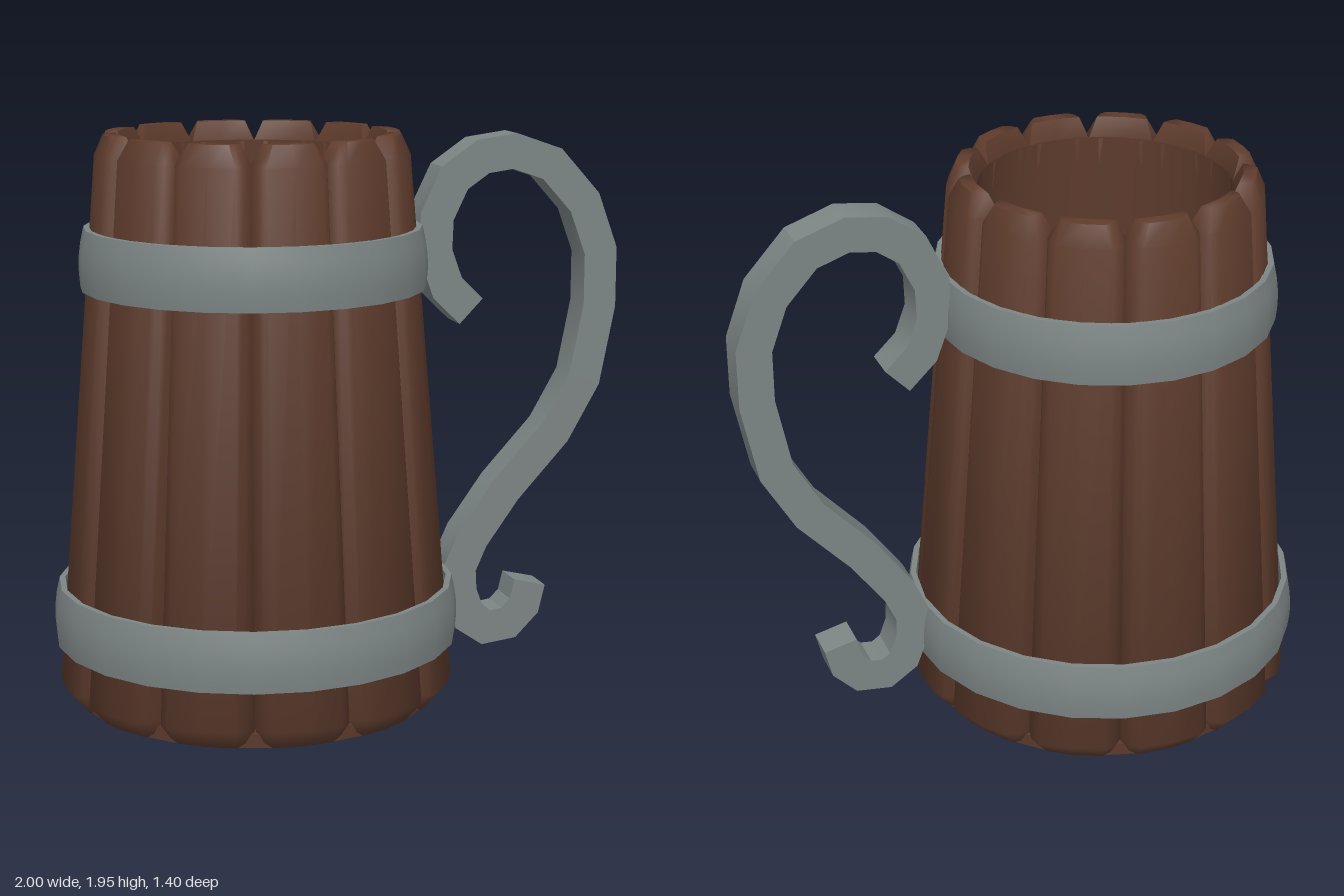
import * as THREE from 'three';
import { toCreasedNormals } from 'three/addons/utils/BufferGeometryUtils.js';

const wood = new THREE.MeshStandardMaterial({ color: 0x5f3c2d });
wood.name = 'brown wood';
const iron = new THREE.MeshStandardMaterial({ color: 0x7d8585 });
iron.name = 'grey iron';

const STAVES = 12;
const DEG = Math.PI / 180;

function mesh(name, geometry, material) {
  const m = new THREE.Mesh(geometry, material);
  m.name = name;
  return m;
}

// One plank with rounded edges, lofted through [height, outer radius, inner radius, half angle]
function staveGeometry() {
  const levels = [
    [0, 0.62, 0.5, 14],
    [0.07, 0.68, 0.54, 15],
    [1.88, 0.53, 0.43, 15],
    [1.95, 0.5, 0.455, 11],
  ];
  // Cross-section: [share of half angle, outer radius factor], then the inner edge
  const outer = [[-1, 0.91], [-0.85, 0.97], [-0.65, 1], [0, 1], [0.65, 1], [0.85, 0.97], [1, 0.91]];
  const inner = [1, 0, -1];
  const n = outer.length + inner.length;
  const pos = [];
  const index = [];
  const add = (r, angle, y) => pos.push(r * Math.cos(angle), y, r * Math.sin(angle));
  for (const [y, rOut, rIn, half] of levels) {
    for (const [u, f] of outer) add(rOut * f, u * half * DEG, y);
    for (const u of inner) add(rIn, u * half * DEG, y);
  }
  for (let k = 0; k < levels.length - 1; k++) {
    for (let i = 0; i < n; i++) {
      const a = k * n + i, b = k * n + (i + 1) % n;
      index.push(a, a + n, b, b, a + n, b + n);
    }
  }
  // End caps fan out from the middle of the inner edge
  const mid = outer.length + 1;
  const top = (levels.length - 1) * n;
  for (let s = 1; s < n - 1; s++) {
    const a = (mid + s) % n, b = (mid + s + 1) % n;
    index.push(mid, a, b, top + mid, top + b, top + a);
  }
  const g = new THREE.BufferGeometry();
  g.setAttribute('position', new THREE.Float32BufferAttribute(pos, 3));
  g.setIndex(index);
  return toCreasedNormals(g, 1.15);
}

// Conical hoop with a slight bulge and thin edges
function bandGeometry(y0, y1, r0, r1) {
  const t = 0.02;
  const at = (k, d) => new THREE.Vector2(r0 + (r1 - r0) * k + d, y0 + (y1 - y0) * k);
  const profile = [at(0, -t), at(0, 0), at(0.25, 0.008), at(0.5, 0.011), at(0.75, 0.008), at(1, 0),
    at(1, -t), at(0, -t)];
  return toCreasedNormals(new THREE.LatheGeometry(profile, 24), 0.7);
}

// Square bar bent along a polyline, with mitred joints
function barGeometry(path, width, depth) {
  const pts = path.map(([x, y]) => new THREE.Vector2(x, y));
  const left = [], right = [];
  pts.forEach((p, i) => {
    const before = pts[Math.max(i - 1, 0)], after = pts[Math.min(i + 1, pts.length - 1)];
    const d1 = (i ? p.clone().sub(before) : after.clone().sub(p)).normalize();
    const d2 = (i < pts.length - 1 ? after.clone().sub(p) : d1.clone()).normalize();
    const dir = d1.clone().add(d2).normalize();
    const off = new THREE.Vector2(-dir.y, dir.x).multiplyScalar(width / 2 / dir.dot(d1));
    left.push(p.clone().add(off));
    right.push(p.clone().sub(off));
  });
  const shape = new THREE.Shape([...left, ...right.reverse()]);
  const g = new THREE.ExtrudeGeometry(shape, { depth, bevelEnabled: false });
  g.translate(0, 0, -depth / 2);
  return toCreasedNormals(g, 0.5);
}

export function createModel() {
  const model = new THREE.Group();
  model.name = 'tankard';

  const barrel = new THREE.Group();
  barrel.name = 'barrel';
  barrel.position.x = -0.305;
  model.add(barrel);

  // Ring of planks
  const stave = staveGeometry();
  for (let i = 0; i < STAVES; i++) {
    const plank = mesh('stave', stave, wood);
    plank.rotation.y = (i / STAVES) * Math.PI * 2;
    barrel.add(plank);
  }

  // Smooth inner wall and floor
  const cup = [[0, 0.1], [0.525, 0.1], [0.427, 1.885]].map(([x, y]) => new THREE.Vector2(x, y));
  const lining = toCreasedNormals(new THREE.LatheGeometry(cup, 36), 0.6);
  const liningMesh = mesh('lining', lining, wood.clone());
  liningMesh.material = wood;
  // Turn the faces inward
  const p = lining.attributes.position, nrm = lining.attributes.normal;
  const v = new THREE.Vector3(), a = new THREE.Vector3(), b = new THREE.Vector3(), c = new THREE.Vector3();
  for (let i = 0; i < p.count; i += 3) {
    [a, b, c].forEach((q, k) => q.fromBufferAttribute(p, i + k));
    const face = b.clone().sub(a).cross(c.clone().sub(a));
    v.copy(a).add(b).add(c).divideScalar(3);
    if (face.dot(new THREE.Vector3(0, 1, 0).sub(v)) >= 0) continue;
    p.setXYZ(i + 1, c.x, c.y, c.z);
    p.setXYZ(i + 2, b.x, b.y, b.z);
    const n1 = new THREE.Vector3().fromBufferAttribute(nrm, i + 1);
    const n2 = new THREE.Vector3().fromBufferAttribute(nrm, i + 2);
    const n0 = new THREE.Vector3().fromBufferAttribute(nrm, i);
    nrm.setXYZ(i, -n0.x, -n0.y, -n0.z);
    nrm.setXYZ(i + 1, -n2.x, -n2.y, -n2.z);
    nrm.setXYZ(i + 2, -n1.x, -n1.y, -n1.z);
  }
  barrel.add(liningMesh);

  // Base board
  const base = mesh('base', new THREE.CylinderGeometry(0.62, 0.615, 0.05, 36), wood);
  base.position.y = 0.025;
  barrel.add(base);

  // Iron hoops
  barrel.add(mesh('lowerBand', bandGeometry(0.21, 0.41, 0.695, 0.682), iron));
  barrel.add(mesh('upperBand', bandGeometry(1.43, 1.635, 0.587, 0.572), iron));

  // Scrolled handle
  const path = [
    [0.457, 1.315], [0.37, 1.4], [0.325, 1.525], [0.33, 1.65], [0.393, 1.78], [0.495, 1.85],
    [0.612, 1.866], [0.75, 1.818], [0.874, 1.68], [0.937, 1.508], [0.937, 1.315], [0.885, 1.053],
    [0.778, 0.866], [0.596, 0.668], [0.473, 0.497], [0.425, 0.39], [0.43, 0.3], [0.463, 0.21],
    [0.527, 0.166], [0.612, 0.176], [0.671, 0.235], [0.692, 0.32],
  ];
  model.add(mesh('handle', barGeometry(path, 0.12, 0.124), iron));
  return model;
}
